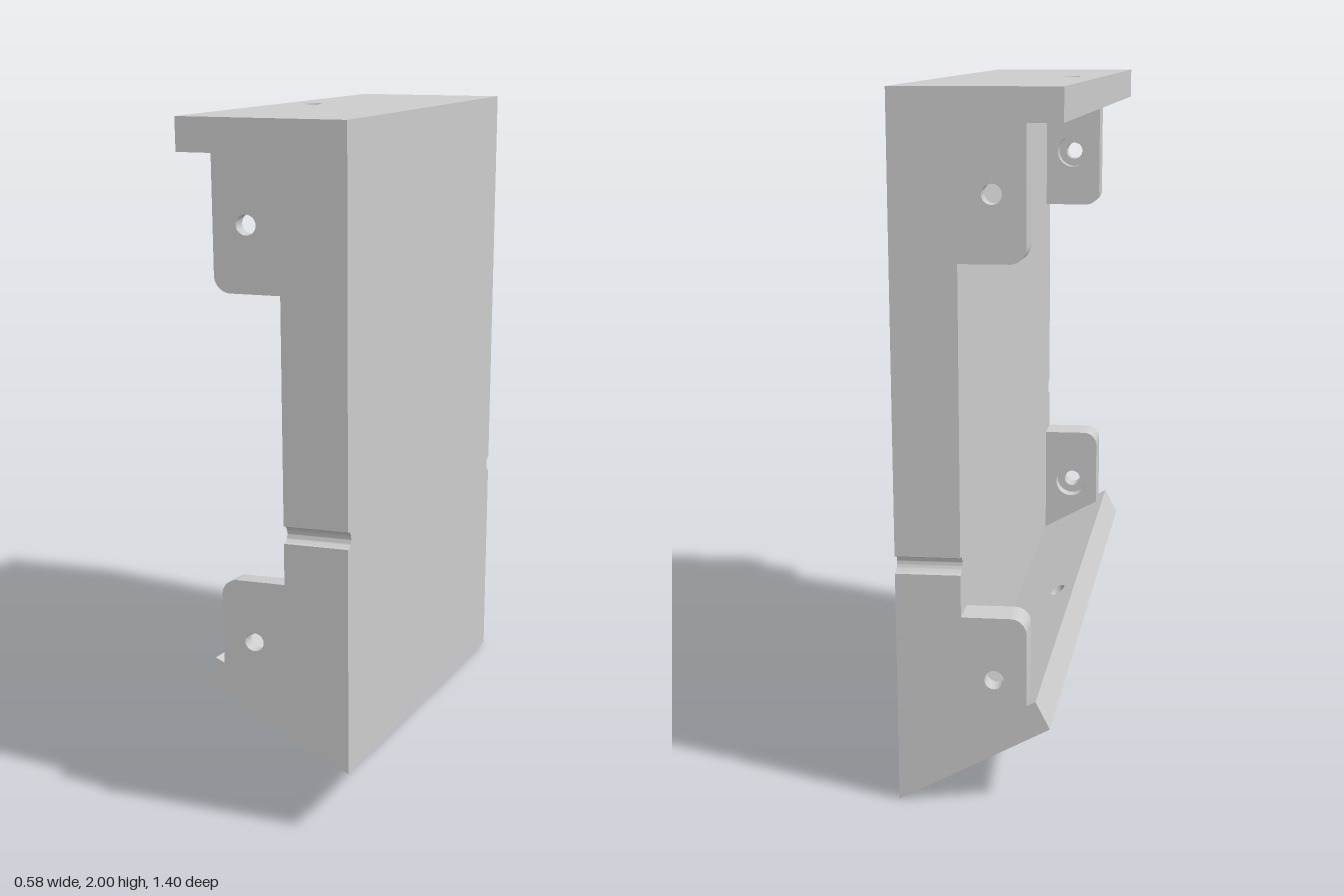
import * as THREE from 'three';
import { toCreasedNormals } from 'three/addons/utils/BufferGeometryUtils.js';

const HALF = 0.7;        // half length along z
const LIP = 1.91;        // underside of the top slab
const material = new THREE.MeshStandardMaterial({ color: 0xcccccc });

// The section drifts sideways and down from front to back, more so at the bottom.
function skew(x, y, z) {
  const s = (HALF - z) / (2 * HALF);
  const k = THREE.MathUtils.clamp((y - 0.95) / 0.55, 0, 1);
  return [x + 0.13 * s, y + THREE.MathUtils.lerp(-0.2, -0.03, k) * s, z];
}

// Extrude a shape, then place each vertex by a rule and skew it.
function part(name, shape, depth, place) {
  const geo = new THREE.ExtrudeGeometry(shape, { depth, bevelEnabled: false, curveSegments: 16 });
  const pos = geo.attributes.position;
  for (let i = 0; i < pos.count; i++) {
    pos.setXYZ(i, ...skew(...place(pos.getX(i), pos.getY(i), pos.getZ(i))));
  }
  const mesh = new THREE.Mesh(toCreasedNormals(geo, 0.5), material);
  mesh.name = name;
  return mesh;
}

const polygon = (points) => new THREE.Shape(points.map(([x, y]) => new THREE.Vector2(x, y)));

function addHole(shape, x, y, rx, ry = rx) {
  const hole = new THREE.Path();
  hole.absellipse(x, y, rx, ry, 0, Math.PI * 2, true);
  shape.holes.push(hole);
  return shape;
}

// Height of the sloping inner surface of the bottom flange
const flangeTop = (x) => 0.302 + (0.16 - x) * 0.54;

// Mounting ear outlines with one rounded corner
function upperEar() {
  const s = new THREE.Shape();
  s.moveTo(-0.02, LIP);
  s.lineTo(-0.2, LIP);
  s.lineTo(-0.2, 1.595);
  s.absarc(-0.155, 1.595, 0.045, Math.PI, Math.PI * 1.5, false);
  s.lineTo(-0.02, 1.55);
  return s;
}

function lowerEar() {
  const s = new THREE.Shape();
  s.moveTo(-0.2, flangeTop(-0.2));
  s.lineTo(-0.02, flangeTop(-0.02));
  s.lineTo(-0.02, 0.75);
  s.lineTo(-0.155, 0.75);
  s.absarc(-0.155, 0.705, 0.045, Math.PI / 2, Math.PI, false);
  return s;
}

export function createModel() {
  const group = new THREE.Group();

  // Main wall, with a half-round groove in each end
  const wall = new THREE.Shape();
  const r = 0.025, gy = 0.895;
  wall.moveTo(-HALF, 0);
  wall.lineTo(HALF, 0);
  wall.lineTo(HALF, gy - r);
  wall.absarc(HALF, gy, r, -Math.PI / 2, Math.PI / 2, true);
  wall.lineTo(HALF, LIP);
  wall.lineTo(-HALF, LIP);
  wall.lineTo(-HALF, gy + r);
  wall.absarc(-HALF, gy, r, Math.PI / 2, -Math.PI / 2, true);
  group.add(part('wall', wall, 0.18, (p, q, t) => {
    const x = t - 0.02;
    return [x, q < 0.01 ? flangeTop(x) : q, -p];
  }));

  // Top slab with overhanging lip and a screw hole
  const top = polygon([[-0.295, -HALF], [0.16, -HALF], [0.16, HALF], [-0.295, HALF]]);
  addHole(top, -0.205, 0, 0.026);
  group.add(part('topSlab', top, 0.09, (p, q, t) => [p, LIP + t, -q]));

  // Sloping bottom flange with a screw hole
  const flange = polygon([[0, -HALF], [1, -HALF], [1, HALF], [0, HALF]]);
  addHole(flange, 0.145, 0, 0.054, 0.026);
  group.add(part('bottomFlange', flange, 1, (a, q, b) => {
    const x = THREE.MathUtils.lerp(THREE.MathUtils.lerp(-0.265, -0.225, b), 0.16, a);
    const y = THREE.MathUtils.lerp(
      THREE.MathUtils.lerp(0.43, 0.2, a),
      THREE.MathUtils.lerp(0.51, 0.302, a), b);
    return [x, y, -q];
  }));

  // Mounting ears at both ends: outer layer with hole, inner layer with counterbore
  const ears = [['upperEar', upperEar, 1.73], ['lowerEar', lowerEar, 0.57]];
  for (const end of [1, -1]) {
    for (const [name, outline, holeY] of ears) {
      const ear = new THREE.Group();
      ear.name = (end > 0 ? 'front ' : 'back ') + name;
      const layers = [['outerLayer', 0.027, 0, 0.04], ['counterboreLayer', 0.052, 0.04, 0.03]];
      for (const [layer, radius, inset, depth] of layers) {
        const start = end > 0 ? HALF - inset - depth : -HALF + inset;
        const shape = addHole(outline(), -0.11, holeY, radius);
        ear.add(part(layer, shape, depth, (x, y, t) => [x, y, start + t]));
      }
      group.add(ear);
    }
  }
  return group;
}
